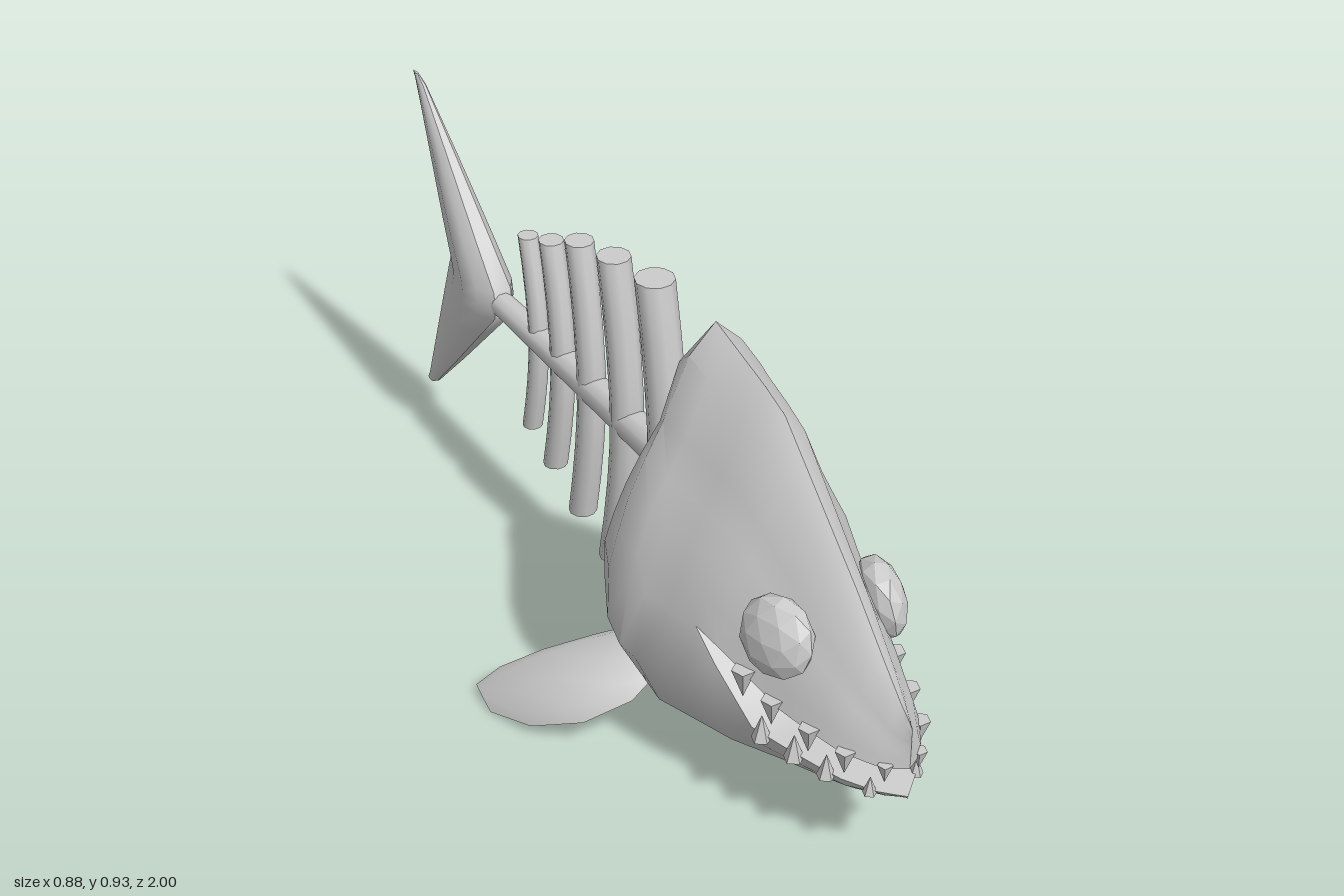
import * as THREE from 'three';
import { mergeGeometries, toCreasedNormals } from 'three/addons/utils/BufferGeometryUtils.js';

const material = new THREE.MeshStandardMaterial({ color: 0xcccccc });

// piecewise linear lookup in [[key, value], ...], keys ascending
function look(table, k) {
  if (k <= table[0][0]) return table[0][1];
  for (let i = 1; i < table.length; i++) {
    const [a, va] = table[i - 1], [b, vb] = table[i];
    if (k <= b) return va + (vb - va) * (k - a) / (b - a);
  }
  return table[table.length - 1][1];
}

// closed skin through loops of [x, y, z], capped at both ends, always facing outwards
function loft(loops) {
  const n = loops[0].length, tris = [];
  const cap = (loop, flip) => {
    const c = [0, 1, 2].map(k => loop.reduce((s, p) => s + p[k], 0) / n);
    for (let i = 0; i < n; i++) {
      const a = loop[i], b = loop[(i + 1) % n];
      tris.push(flip ? [c, b, a] : [c, a, b]);
    }
  };
  cap(loops[0], true);
  for (let j = 0; j + 1 < loops.length; j++) {
    for (let i = 0; i < n; i++) {
      const k = (i + 1) % n;
      const a = loops[j][i], b = loops[j][k], c = loops[j + 1][k], d = loops[j + 1][i];
      tris.push([a, b, c], [a, c, d]);
    }
  }
  cap(loops[loops.length - 1], false);
  let volume = 0;
  for (const [a, b, c] of tris) {
    volume += new THREE.Vector3(...a).dot(new THREE.Vector3(...b).cross(new THREE.Vector3(...c)));
  }
  if (volume < 0) tris.forEach(t => t.reverse());
  const g = new THREE.BufferGeometry();
  g.setAttribute('position', new THREE.Float32BufferAttribute(tris.flat(2), 3));
  return g;
}

function add(parent, name, geometry, mat = material) {
  const mesh = new THREE.Mesh(geometry, mat);
  mesh.name = name;
  parent.add(mesh);
  return mesh;
}

// head outline along z: belly, crown, greatest half width, lower and upper lip
const BELLY = [[0.2, 0.17], [0.29, 0.11], [0.4, 0.04], [0.6, 0.08], [0.85, 0.165], [1, 0.225]];
const CROWN = [[0.2, 0.88], [0.29, 0.93], [0.53, 0.86], [0.8, 0.6], [0.95, 0.44], [1, 0.4]];
const WIDTH = [[0.2, 0.215], [0.29, 0.262], [0.36, 0.265], [0.54, 0.222], [0.7, 0.165],
  [0.8, 0.135], [0.9, 0.1], [0.96, 0.06], [0.985, 0.03], [1, 0]];
const LOWER = [[0.54, 0.42], [0.7, 0.26], [1, 0.23]];
const UPPER = [[0.54, 0.42], [0.75, 0.335], [0.9, 0.31], [1, 0.3]];
// share of the half width from belly (0) to crown (1), and the rear edge z by height
const SHAPE = [[0, 0], [0.025, 0.43], [0.1, 0.75], [0.25, 1], [0.4, 0.94], [0.6, 0.74],
  [0.78, 0.43], [0.93, 0.23], [1, 0]];
const REAR = [[0.16, 0.23], [0.25, 0.185], [0.4, 0.2], [0.72, 0.25], [0.85, 0.235], [0.9, 0.26]];

function headWidth(z, y) {
  const b = look(BELLY, z), t = look(CROWN, z);
  return look(WIDTH, z) * look(SHAPE, (y - b) / (t - b));
}

function headGeometry() {
  const stations = [0.2, 0.29, 0.36, 0.4, 0.47, 0.54, 0.6, 0.65, 0.7, 0.75, 0.8, 0.85, 0.9, 0.96, 0.985, 1];
  const half = (lip, edge, steps) => {
    const section = (z, rear, hollow) => {
      const y0 = look(lip, z), y1 = look(edge, z);
      const side = steps.map(s => {
        const y = y0 + (y1 - y0) * s;
        const x = hollow ? 0 : headWidth(z, y);
        return [x, y, rear ? look(REAR, y) + (hollow ? 0.03 : 0) : z];
      });
      const mirrored = side.slice(0, -1).reverse().map(([x, y, q]) => [-x, y, q]);
      return [...side, ...mirrored];
    };
    return loft([section(0.2, true, true), ...stations.map((z, i) => section(z, i === 0, false))]);
  };
  const jaw = half(LOWER, BELLY, [0, 0.4, 0.76, 0.94, 1]);
  const skull = half(UPPER, CROWN, [0, 0.15, 0.31, 0.47, 0.62, 0.88, 1]);
  return toCreasedNormals(mergeGeometries([jaw, skull]), 0.75);
}

// ellipse loop spanned by two axes
function ring(c, u, v, sides) {
  return Array.from({ length: sides }, (_, i) => {
    const a = i / sides * Math.PI * 2;
    return c.map((q, k) => q + u[k] * Math.cos(a) + v[k] * Math.sin(a));
  });
}

function finGeometry(side) {
  // centre, half chord, half thickness from root to tip
  const spans = [
    [[0.17, 0.175, 0.29], 0.07, 0.03], [[0.23, 0.145, 0.275], 0.095, 0.036],
    [[0.32, 0.095, 0.22], 0.105, 0.032], [[0.395, 0.045, 0.145], 0.085, 0.02],
    [[0.437, 0.012, 0.08], 0.04, 0.005],
  ];
  return toCreasedNormals(loft(spans.map(([c, h, t]) =>
    ring([c[0] * side, c[1], c[2]], [0.12 * h * side, -0.2 * h, h], [0.5 * t * side, 0.86 * t, 0], 8))), 0.7);
}

function tailGeometry() {
  // height above the middle, leading z, trailing z, half thickness
  const rows = [[0, -0.595, -0.85, 0.055], [0.035, -0.6, -0.863, 0.054], [0.12, -0.68, -0.893, 0.045],
    [0.27, -0.82, -0.945, 0.026], [0.4, -0.945, -0.99, 0.008], [0.418, -0.975, -1, 0.003]];
  const all = [...rows.slice(1).reverse().map(([y, ...r]) => [-y, ...r]), ...rows];
  const outline = [[0.4, 0], [0.85, 0.15], [1, 0.37], [0.6, 0.7]];
  return toCreasedNormals(loft(all.map(([y, lead, trail, t]) => {
    const at = (x, f) => [x * t, 0.5 + y, lead + (trail - lead) * f];
    return [...outline.map(([x, f]) => at(x, f)), at(0, 1),
      ...outline.slice().reverse().map(([x, f]) => at(-x, f))];
  })), 0.7);
}

export function createModel() {
  const model = new THREE.Group();
  model.name = 'skeletonFish';
  const flat = material.clone();
  flat.flatShading = true;

  add(model, 'head', headGeometry());

  // backbone, slightly thinner towards the tail
  add(model, 'spine', toCreasedNormals(loft([[0.26, 0.042], [-0.63, 0.028]].map(([z, r]) =>
    ring([0, 0.5, z], [r, 0, 0], [0, r, 0], 10))), 0.8));

  // ribs: end z, middle z, radius, bottom, top
  const ribs = new THREE.Group();
  ribs.name = 'ribs';
  model.add(ribs);
  [[0.06, 0.117, 0.043, 0.08, 0.91], [-0.103, -0.05, 0.037, 0.11, 0.88], [-0.246, -0.2, 0.032, 0.145, 0.845],
    [-0.368, -0.325, 0.028, 0.2, 0.785], [-0.472, -0.433, 0.023, 0.245, 0.745],
  ].forEach(([zEnd, zMid, r, y0, y1]) => {
    const loops = [0, 0.14, 0.28, 0.42, 0.58, 0.72, 0.86, 1].map(s => {
      const bend = Math.pow(Math.abs(2 * s - 1), 1.6);
      return ring([0, y0 + (y1 - y0) * s, zMid + (zEnd - zMid) * bend], [r, 0, 0], [0, 0, r], 10);
    });
    add(ribs, 'rib', toCreasedNormals(loft(loops), 0.8));
  });

  add(model, 'tailFin', tailGeometry());

  const teeth = new THREE.Group();
  teeth.name = 'teeth';
  model.add(teeth);
  for (const side of [1, -1]) {
    const label = side > 0 ? 'left' : 'right';
    add(model, label + 'Fin', finGeometry(side));

    // faceted eye, flattened against the cheek
    const eye = add(model, label + 'Eye', new THREE.IcosahedronGeometry(0.088, 1), flat);
    eye.position.set(0.122 * side, 0.48, 0.715);
    eye.scale.set(0.55, 1, 1);
    eye.rotation.set(0, -0.28 * side, 0.2 * side);

    // pointed teeth along both lips
    const tooth = (z, lip, height, down) => {
      const y = look(lip, z);
      const mesh = add(teeth, down ? 'upperTooth' : 'lowerTooth', new THREE.ConeGeometry(height * 0.36, height, 5), flat);
      mesh.position.set(side * (headWidth(z, y) + 0.002), y + (down ? -0.3 : 0.3) * height, z);
      if (down) mesh.rotation.x = Math.PI;
    };
    [[0.975, 0.045], [0.91, 0.058], [0.83, 0.062], [0.74, 0.065], [0.665, 0.07]]
      .forEach(([z, h]) => tooth(z, UPPER, h, true));
    [[0.95, 0.042], [0.87, 0.055], [0.8, 0.06], [0.725, 0.06]]
      .forEach(([z, h]) => tooth(z, LOWER, h, false));
  }
  return model;
}
